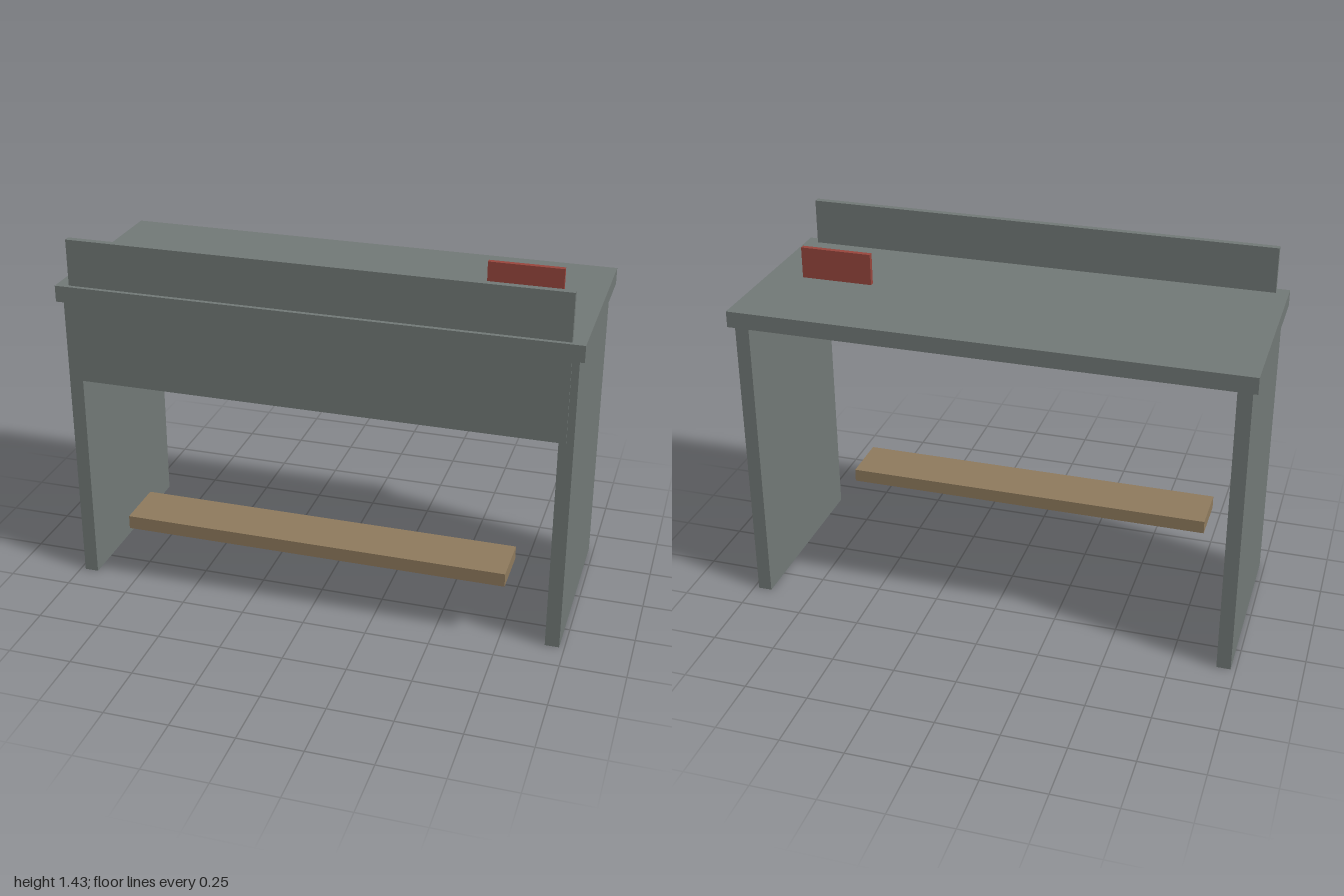
import * as THREE from 'three';

export function createModel() {
  const model = new THREE.Group();
  model.name = 'workbench';

  const material = (name, color) => {
    const m = new THREE.MeshStandardMaterial({ color });
    m.name = name;
    return m;
  };
  const grey = material('greyPanel', 0x727977);
  const wood = material('brownWood', 0x8f7a5d);
  const red = material('redSign', 0x98463d);

  // Box given by its [min, max] extent along each axis
  const board = (name, mat, [x0, x1], [y0, y1], [z0, z1]) => {
    const mesh = new THREE.Mesh(new THREE.BoxGeometry(x1 - x0, y1 - y0, z1 - z0), mat);
    mesh.name = name;
    mesh.position.set((x0 + x1) / 2, (y0 + y1) / 2, (z0 + z1) / 2);
    model.add(mesh);
  };

  // Worktop with the raised screen along its front edge
  board('worktop', grey, [-1, 1], [1.186, 1.25], [-0.403, 0.403]);
  board('frontScreen', grey, [-0.95, 0.95], [1.25, 1.432], [0.36, 0.386]);

  // Side panels carrying the worktop
  board('leftSidePanel', grey, [0.925, 0.98], [0, 1.186], [-0.38, 0.38]);
  board('rightSidePanel', grey, [-0.98, -0.925], [0, 1.186], [-0.38, 0.38]);

  // Apron under the worktop, just proud of the side panels
  board('frontApron', grey, [-0.953, 0.953], [0.86, 1.186], [0.36, 0.386]);

  // Footrest plank between the side panels
  board('footrest', wood, [-0.762, 0.762], [0.237, 0.291], [0.18, 0.393]);

  // Small upright plate standing on the worktop
  board('uprightPlate', red, [0.571, 0.857], [1.25, 1.375], [-0.01, 0.01]);

  return model;
}
